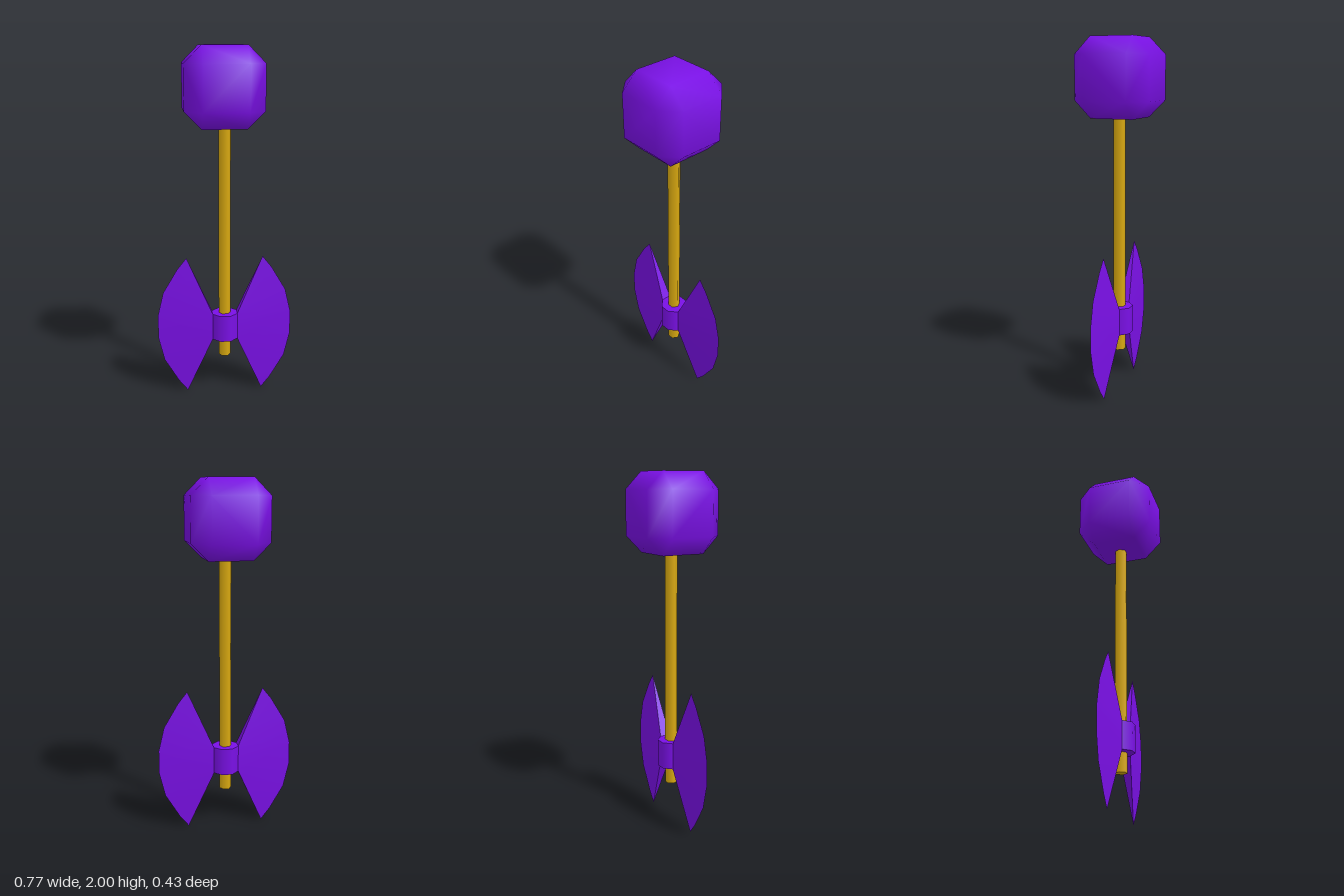
import * as THREE from 'three';
import { mergeVertices, toCreasedNormals } from 'three/addons/utils/BufferGeometryUtils.js';
import { ConvexGeometry } from 'three/addons/geometries/ConvexGeometry.js';

const purple = new THREE.MeshStandardMaterial({ color: 0x7a10e6 });
const gold = new THREE.MeshStandardMaterial({ color: 0xd8a810 });

const MID = 0.415;      // height of the collar and blade centre
const HALF = 0.078;     // half height of the collar
const APOTHEM = 0.0715; // collar centre to each flat side

// Cube with every edge and corner chamfered, shaded smooth
function chamferedCube(half, flat) {
  const points = [];
  for (const x of [-1, 1]) for (const y of [-1, 1]) for (const z of [-1, 1]) {
    points.push(
      new THREE.Vector3(x * half, y * flat, z * flat),
      new THREE.Vector3(x * flat, y * half, z * flat),
      new THREE.Vector3(x * flat, y * flat, z * half)
    );
  }
  const hull = new ConvexGeometry(points);
  hull.deleteAttribute('normal');
  const geometry = mergeVertices(hull);
  geometry.computeVertexNormals();
  return geometry;
}

// Wedge blade: a rectangular root tapering to a sharp curved edge
function bladeGeometry() {
  const rootZ = APOTHEM * Math.tan(Math.PI / 8);
  const upper = [[0.387, 0.068], [0.354, 0.207], [0.272, 0.345], [0.219, 0.412]];
  const edge = [
    ...upper.map(([x, y]) => [x, -y, 0]).reverse(),
    ...upper.map(([x, y]) => [x, y, 0])
  ];
  const root = (side, z) => [APOTHEM, side * HALF, z * rootZ];
  const positions = [];
  const tri = (a, b, c) => positions.push(...a, ...b, ...c);

  // front and back cheeks
  for (const z of [1, -1]) {
    const face = (a, b, c) => (z > 0 ? tri(a, b, c) : tri(a, c, b));
    const low = root(-1, z), high = root(1, z);
    for (let i = 0; i < 7; i++) face(i < 4 ? low : high, edge[i], edge[i + 1]);
    face(low, edge[4], high);
  }
  // top and bottom edges beside the collar
  tri(root(1, 1), edge[7], root(1, -1));
  tri(root(-1, -1), edge[0], root(-1, 1));

  const geometry = new THREE.BufferGeometry();
  geometry.setAttribute('position', new THREE.Float32BufferAttribute(positions, 3));
  return toCreasedNormals(geometry, 0.5);
}

export function createModel() {
  const group = new THREE.Group();
  const add = (name, geometry, material, x, y) => {
    const mesh = new THREE.Mesh(geometry, material);
    mesh.name = name;
    mesh.position.set(x, y, 0);
    group.add(mesh);
    return mesh;
  };

  // Pommel block
  add('pommel', chamferedCube(0.2165, 0.122), purple, -0.01, 1.7835);

  // Six-sided handle, running up into the pommel
  const bottom = 0.23, top = 1.62;
  add('handle', new THREE.CylinderGeometry(0.034, 0.034, top - bottom, 6, 1, false, Math.PI / 2),
    gold, 0, (bottom + top) / 2);

  // Eight-sided collar
  const radius = APOTHEM / Math.cos(Math.PI / 8);
  add('collar', new THREE.CylinderGeometry(radius, radius, HALF * 2, 8, 1, false, Math.PI / 8),
    purple, 0, MID);

  // Matching blades on both sides
  const blade = bladeGeometry();
  add('leftBlade', blade, purple, 0, MID);
  add('rightBlade', blade, purple, 0, MID).rotation.y = Math.PI;

  return group;
}
